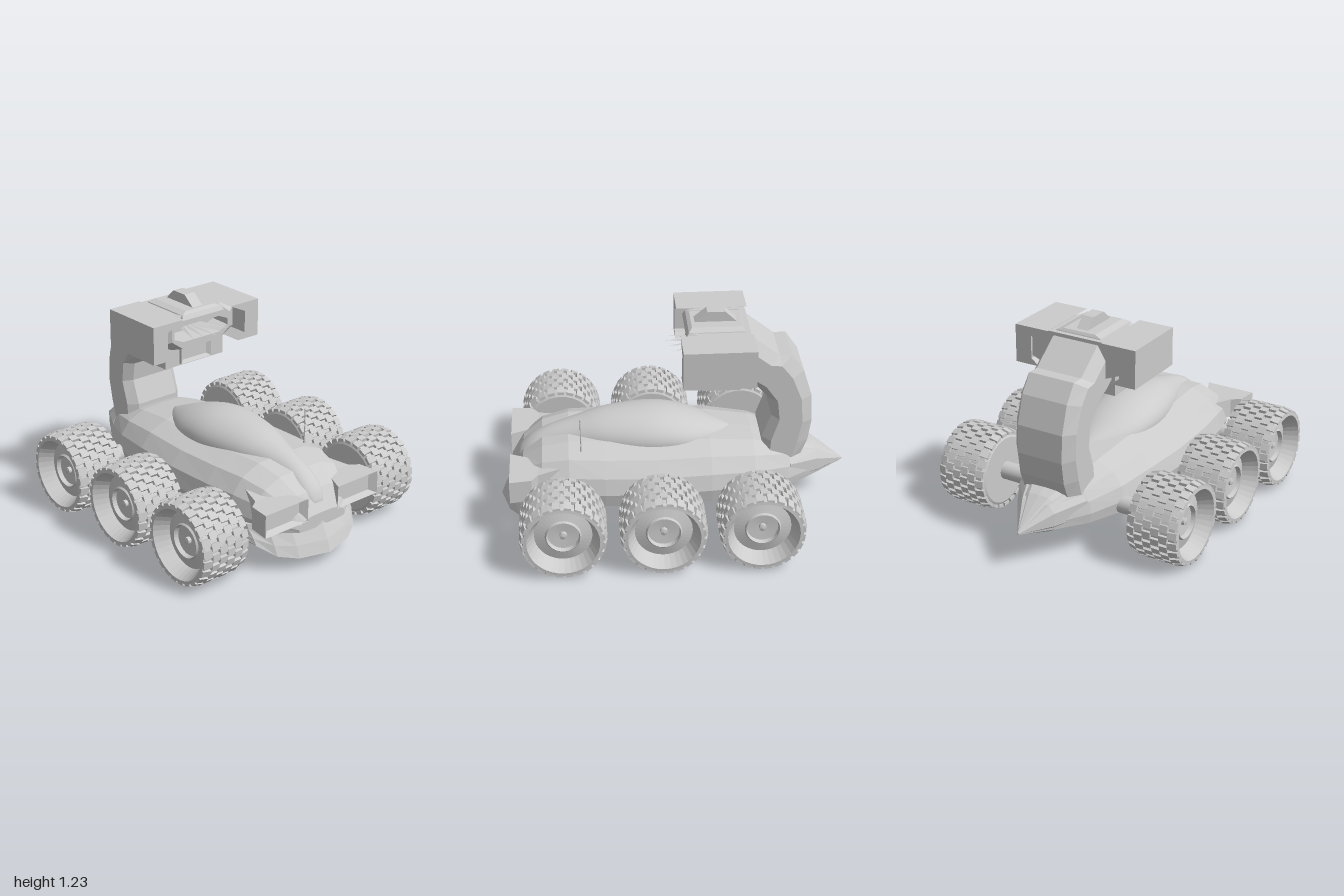
import * as THREE from 'three';
import { mergeGeometries } from 'three/addons/utils/BufferGeometryUtils.js';

const V = (x, y, z) => new THREE.Vector3(x, y, z);
const flat = new THREE.MeshStandardMaterial({ color: 0xcccccc, flatShading: true });
const smooth = new THREE.MeshStandardMaterial({ color: 0xcccccc });

function add(parent, name, geo, mat = flat, pos = [0, 0, 0]) {
  const m = new THREE.Mesh(geo, mat);
  m.name = name;
  m.position.set(...pos);
  parent.add(m);
  return m;
}

// Skin a list of closed rings and cap both ends; winding is corrected by signed volume.
function loft(rings) {
  const n = rings[0].length, pts = rings.flat(), tris = [];
  for (let r = 0; r < rings.length - 1; r++)
    for (let i = 0; i < n; i++) {
      const a = r * n + i, b = r * n + (i + 1) % n;
      tris.push([a, b, b + n], [a, b + n, a + n]);
    }
  [0, rings.length - 1].forEach((r) => {
    const c = rings[r].reduce((s, p) => s.add(p), V(0, 0, 0)).divideScalar(n);
    const k = pts.push(c) - 1;
    for (let i = 0; i < n; i++) {
      const a = r * n + i, b = r * n + (i + 1) % n;
      tris.push(r ? [a, b, k] : [b, a, k]);
    }
  });
  const vol = tris.reduce((s, [a, b, c]) => s + pts[a].dot(pts[b].clone().cross(pts[c])), 0);
  const geo = new THREE.BufferGeometry().setFromPoints(pts);
  geo.setIndex(tris.flatMap(([a, b, c]) => (vol < 0 ? [a, c, b] : [a, b, c])));
  geo.computeVertexNormals();
  return geo;
}

// Rectangle ring in the xy plane.
const rect = (x0, x1, y0, y1, z) => [V(x0, y0, z), V(x1, y0, z), V(x1, y1, z), V(x0, y1, z)];

// Chamfered rectangle ring, symmetric in x.
const octagon = (w, wc, y0, y1, c, z) => [
  V(-wc, y0, z), V(wc, y0, z), V(w, y0 + c, z), V(w, y1 - c, z),
  V(wc, y1, z), V(-wc, y1, z), V(-w, y1 - c, z), V(-w, y0 + c, z)];

function hullGeometry() {
  // z, half width, bottom, top
  const stations = [
    [-1, 0.004, 0.22, 0.23], [-0.8, 0.135, 0.18, 0.37], [-0.65, 0.24, 0.17, 0.42],
    [-0.45, 0.33, 0.165, 0.47], [-0.2, 0.375, 0.165, 0.5], [0.1, 0.395, 0.165, 0.5],
    [0.4, 0.39, 0.165, 0.51], [0.6, 0.372, 0.17, 0.515], [0.75, 0.335, 0.18, 0.48],
    [0.86, 0.27, 0.2, 0.4], [0.93, 0.17, 0.21, 0.29]];
  // half section: width and height fractions
  const half = [[0.6, 0.02], [0.96, 0.1], [1, 0.33], [0.94, 0.6], [0.77, 0.84], [0.45, 0.98]];
  const section = [[0, 0], ...half, [0, 1], ...half.map(([x, y]) => [-x, y]).reverse()];
  return loft(stations.map(([z, w, b, t]) => section.map(([x, y]) => V(x * w, b + y * (t - b), z))));
}

function chinGeometry() {
  // x, front shift, bottom, top
  const side = [[0.18, -0.05, 0.077, 0.265], [0.285, -0.11, 0.1, 0.26], [0.355, -0.2, 0.15, 0.25], [0.375, -0.28, 0.18, 0.24]];
  const all = [...side.map(([x, ...r]) => [-x, ...r]).reverse(), [0, 0, 0.075, 0.27], ...side];
  const profile = [[0.52, 0.9], [0.92, 1], [0.935, 0.75], [0.975, 0.35], [1, 0], [0.88, 0], [0.52, 0.45]];
  return loft(all.map(([x, s, b, t]) =>
    profile.map(([z, f]) => V(x, b + f * (t - b), z > 0.6 ? z + s : z))));
}

function canopyGeometry() {
  // z, half width, centre height, half height
  const st = [
    [-0.34, 0.01, 0.46, 0.02], [-0.25, 0.1, 0.46, 0.06], [-0.1, 0.185, 0.47, 0.11],
    [0.05, 0.213, 0.48, 0.138], [0.2, 0.21, 0.48, 0.145], [0.4, 0.17, 0.48, 0.125],
    [0.55, 0.12, 0.47, 0.095], [0.7, 0.085, 0.44, 0.078], [0.8, 0.078, 0.4, 0.07],
    [0.87, 0.06, 0.36, 0.048], [0.9, 0.03, 0.335, 0.015]];
  const plan = new THREE.CatmullRomCurve3(st.map((s) => V(s[0], s[1], 0)), false, 'catmullrom');
  const lift = new THREE.CatmullRomCurve3(st.map((s) => V(s[2], s[3], 0)), false, 'catmullrom');
  const rings = [];
  for (let i = 0; i <= 40; i++) {
    const p = plan.getPoint(i / 40), q = lift.getPoint(i / 40), ring = [];
    for (let k = 0; k < 32; k++) {
      const a = k * Math.PI / 16;
      ring.push(V(Math.cos(a) * p.y, q.x + Math.sin(a) * q.y, p.x));
    }
    rings.push(ring);
  }
  return loft(rings);
}

function armGeometry() {
  // inner z, y and outer z, y along the bend
  const st = [
    [-0.5, 0.37, -0.73, 0.36], [-0.5, 0.48, -0.765, 0.45], [-0.55, 0.62, -0.783, 0.58],
    [-0.535, 0.73, -0.775, 0.74], [-0.465, 0.81, -0.725, 0.9], [-0.42, 0.83, -0.655, 1.0],
    [-0.38, 0.855, -0.585, 1.0], [-0.34, 0.88, -0.42, 1.13]];
  const sec = [[-0.14, 0], [0.14, 0], [0.19, 0.18], [0.19, 0.74], [0.14, 1], [-0.14, 1], [-0.19, 0.74], [-0.19, 0.18]];
  return loft(st.map(([z0, y0, z1, y1]) => sec.map(([x, f]) => V(x, y0 + f * (y1 - y0), z0 + f * (z1 - z0)))));
}

// Wheel lying along +x, outer face at x = 0.15.
function buildWheel() {
  const wheel = new THREE.Group();
  const profile = [
    [0, -0.15], [0.195, -0.15], [0.222, -0.135], [0.222, 0.135], [0.215, 0.15], [0.198, 0.152],
    [0.19, 0.135], [0.165, 0.085], [0.158, 0.07], [0.1, 0.085], [0.092, 0.095], [0.086, 0.07],
    [0.02, 0.065], [0.02, 0.085], [0, 0.09]].map(([r, x]) => new THREE.Vector2(r, x));
  add(wheel, 'tyreAndRim', new THREE.LatheGeometry(profile, 36).rotateZ(-Math.PI / 2), flat);
  // staggered tread blocks
  const blocks = [], cols = 6, count = 24, pitch = 0.302 / cols;
  for (let c = 0; c < cols; c++)
    for (let i = 0; i < count; i++) {
      const edge = c === 0 || c === cols - 1;
      const b = new THREE.BoxGeometry(pitch * 0.97, 0.03, 0.04);
      if (edge) {
        // bevel the shoulder
        const p = b.attributes.position, s = c ? 1 : -1;
        for (let v = 0; v < p.count; v++)
          if (p.getX(v) * s > 0 && p.getY(v) > 0) p.setY(v, 0.003);
      }
      b.translate((c - (cols - 1) / 2) * pitch, 0.223, 0);
      b.rotateX((i + (c % 2) / 2) * 2 * Math.PI / count);
      blocks.push(b);
    }
  add(wheel, 'treadBlocks', mergeGeometries(blocks));
  return wheel;
}

function buildHead() {
  const head = new THREE.Group();
  head.name = 'head';
  // core with a funnel-shaped mouth
  add(head, 'headCore', loft([
    octagon(0.185, 0.12, 1.01, 1.075, 0.022, -0.2), octagon(0.195, 0.13, 0.995, 1.09, 0.028, -0.085),
    octagon(0.21, 0.135, 0.955, 1.155, 0.055, -0.085), octagon(0.28, 0.17, 0.94, 1.15, 0.045, -0.14),
    octagon(0.28, 0.17, 0.94, 1.15, 0.045, -0.42)]));
  // side pods with a slanted inner face
  for (const s of [1, -1]) {
    const shape = new THREE.Shape([[0.38, 0.932], [0.38, 1.152], [0.17, 1.152], [0.28, 1.1], [0.28, 0.97], [0.23, 0.932]]
      .map(([x, y]) => new THREE.Vector2(x * s, y)));
    add(head, s > 0 ? 'leftPod' : 'rightPod',
      new THREE.ExtrudeGeometry(shape, { depth: 0.4, bevelEnabled: false }).translate(0, 0, -0.433));
  }
  // lower box with a recessed window
  add(head, 'lowerBox', new THREE.BoxGeometry(0.424, 0.112, 0.215), flat, [0, 0.886, -0.255]);
  add(head, 'lowerWindow', loft([
    rect(-0.085, 0.085, 0.86, 0.93, -0.145), rect(-0.11, 0.11, 0.842, 0.95, -0.13),
    rect(-0.11, 0.11, 0.842, 0.95, -0.25)]));
  // stepped lid and fin on top
  const slab = (w, y, z0, z1) => [V(-w, y, z0), V(w, y, z0), V(w, y, z1), V(-w, y, z1)];
  add(head, 'lid', loft([slab(0.15, 1.13, -0.4, -0.065), slab(0.14, 1.155, -0.39, -0.08), slab(0.1, 1.168, -0.38, -0.1)]));
  add(head, 'topFin', loft([slab(0.035, 1.16, -0.36, -0.11), slab(0.035, 1.226, -0.29, -0.19)]));
  // fan of thin spikes in the mouth
  for (let i = -2; i <= 2; i++) {
    const spike = add(head, 'mouthSpike', new THREE.ConeGeometry(0.028, 0.22, 4).rotateX(Math.PI / 2).scale(1, 0.3, 1),
      flat, [i * 0.045, 1.042, -0.06 - Math.abs(i) * 0.018]);
    spike.rotation.y = i * 0.2;
  }
  return head;
}

export function createModel() {
  const model = new THREE.Group();
  add(model, 'hull', hullGeometry());
  add(model, 'chin', chinGeometry());
  add(model, 'canopy', canopyGeometry(), smooth);
  add(model, 'tailArm', armGeometry());
  // boxy stern that closes to a point
  add(model, 'tailSpike', loft([
    octagon(0.22, 0.15, 0.175, 0.4, 0.07, -0.66), octagon(0.12, 0.085, 0.185, 0.34, 0.04, -0.83),
    octagon(0.003, 0.002, 0.222, 0.228, 0.002, -1)]));
  model.add(buildHead());

  // headlights on stalks, with recessed fronts
  for (const s of [1, -1]) {
    const r = (x0, x1, y0, y1, z) => rect(x0 * s, x1 * s, y0, y1, z);
    add(model, s > 0 ? 'leftHeadlight' : 'rightHeadlight', loft([
      r(0.145, 0.375, 0.29, 0.385, 0.9), r(0.11, 0.413, 0.271, 0.404, 0.933), r(0.165, 0.398, 0.275, 0.404, 0.81),
      r(0.185, 0.345, 0.29, 0.404, 0.775), r(0.2, 0.29, 0.31, 0.42, 0.6)]));
  }

  // whip antenna
  add(model, 'antennaBase', new THREE.CylinderGeometry(0.005, 0.007, 0.03, 10), smooth, [0.237, 0.5, 0.53]);
  add(model, 'antennaRod', new THREE.CylinderGeometry(0.003, 0.003, 0.2, 8), smooth, [0.237, 0.585, 0.53]);
  add(model, 'antennaTip', new THREE.SphereGeometry(0.006, 10, 8), smooth, [0.237, 0.685, 0.53]);

  // three axles, each with a mirrored pair of wheels
  const wheel = buildWheel();
  for (const z of [0.642, 0.096, -0.444]) {
    add(model, 'axle', new THREE.CylinderGeometry(0.052, 0.052, 0.96, 20).rotateZ(Math.PI / 2), smooth, [0, 0.239, z]);
    for (const s of [1, -1]) {
      const w = wheel.clone();
      w.name = s > 0 ? 'leftWheel' : 'rightWheel';
      w.position.set(0.621 * s, 0.239, z);
      if (s < 0) w.rotation.y = Math.PI;
      model.add(w);
    }
  }
  return model;
}
